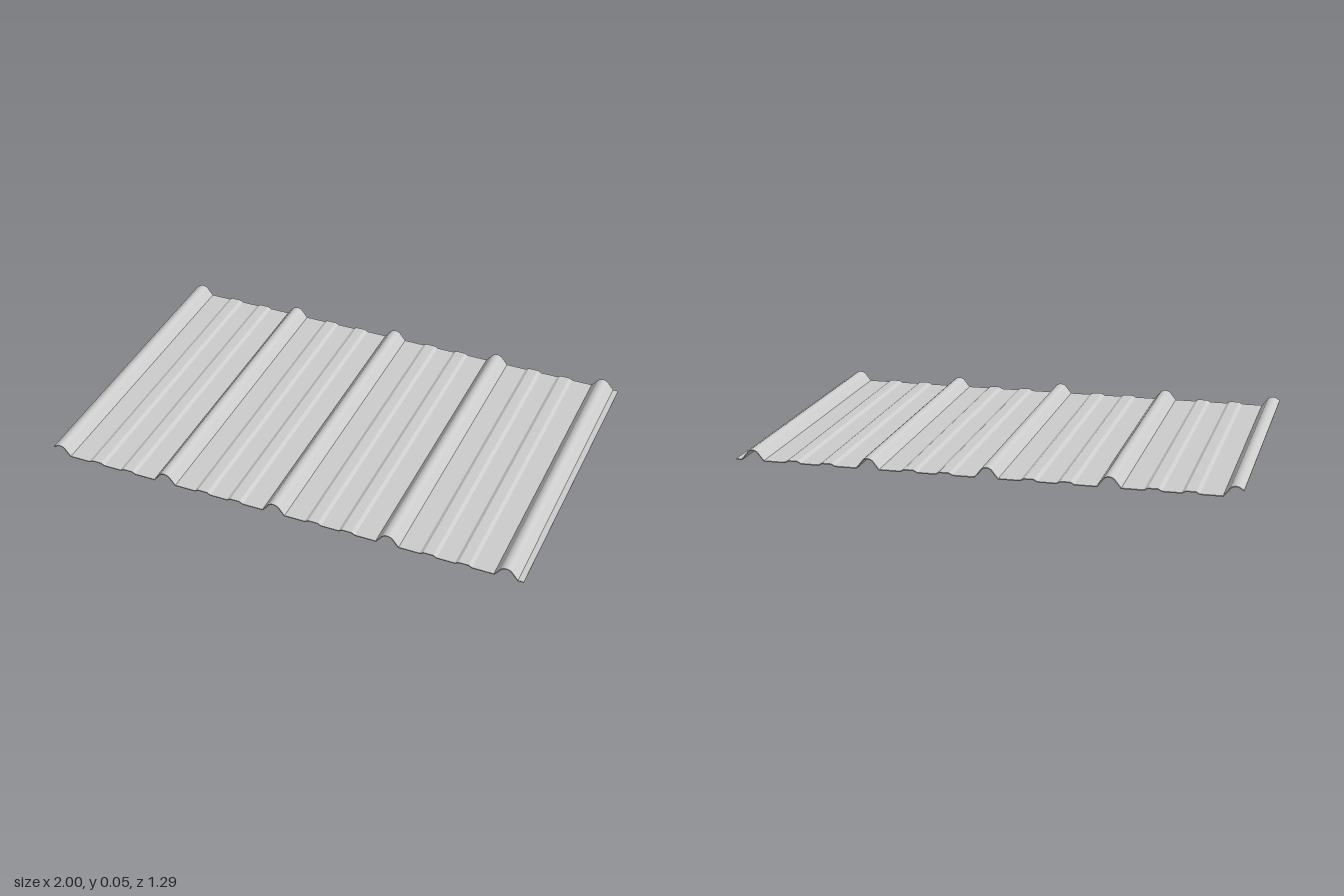
import * as THREE from 'three';

const PITCH = 0.475, FIRST = -0.97, DEPTH = 1.294, THICK = 0.004, PAN = 0.004;

// Upper outline of the sheet, running from -x to +x
function sheetProfile() {
  const pts = [];
  const add = (x, y) => pts.push(new THREE.Vector2(x, y));
  // Rounded crown between the rib's two shoulders
  const crown = (c) => {
    for (let i = 0; i <= 6; i++) {
      const t = -1 + i / 3;
      add(c + 0.021 * t, 0.037 + 0.008 * (1 - t * t));
    }
  };
  // Low stiffening swage in the flat pan
  const swage = (c) => {
    add(c - 0.034, PAN);
    add(c - 0.02, PAN + 0.008);
    add(c + 0.02, PAN + 0.008);
    add(c + 0.034, PAN);
  };
  for (let r = 0; r < 5; r++) {
    const c = FIRST + r * PITCH;
    if (r === 0) add(-1, 0.031); // overlapping edge stops part-way down the flank
    else add(c - 0.047, PAN);
    crown(c);
    add(c + 0.047, PAN);
    if (r < 4) {
      swage(c + 0.167);
      swage(c + 0.308);
    }
  }
  add(1, PAN); // underlapping lip
  return pts;
}

// Offsets the outline by the sheet thickness, mitred at each bend
function underside(pts) {
  return pts.map((p, i) => {
    const a = pts[Math.max(i - 1, 0)], b = pts[Math.min(i + 1, pts.length - 1)];
    const d0 = (i > 0 ? p.clone().sub(a) : b.clone().sub(p)).normalize();
    const d1 = (i < pts.length - 1 ? b.clone().sub(p) : d0.clone()).normalize();
    const n = new THREE.Vector2(d0.y + d1.y, -d0.x - d1.x).normalize();
    const miter = THICK / (n.x * d0.y - n.y * d0.x);
    // Keep the cut edges vertical at both sides
    if (i === 0 || i === pts.length - 1) return new THREE.Vector2(p.x, p.y - THICK);
    return p.clone().addScaledVector(n, miter);
  });
}

export function createModel() {
  const group = new THREE.Group();
  group.name = 'ribbedRoofPanel';

  const top = sheetProfile();
  const shape = new THREE.Shape([...top, ...underside(top).reverse()]);
  const geometry = new THREE.ExtrudeGeometry(shape, { depth: DEPTH, bevelEnabled: false });
  geometry.translate(0, 0, -DEPTH / 2);

  const sheet = new THREE.Mesh(geometry, new THREE.MeshStandardMaterial({ color: 0xcccccc, flatShading: true }));
  sheet.name = 'ribbedSheet';
  group.add(sheet);
  return group;
}
